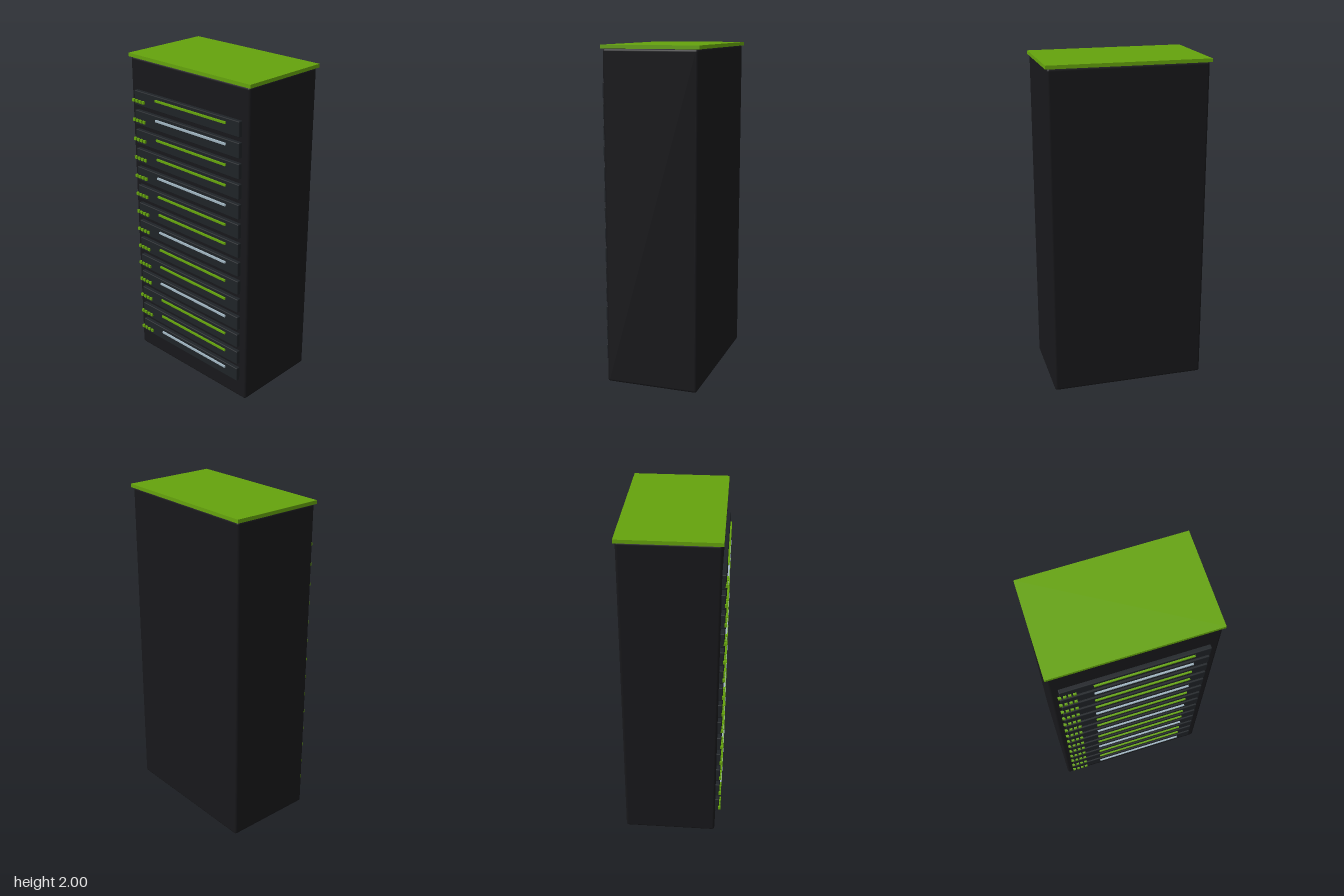
import * as THREE from 'three';
import { RoundedBoxGeometry } from 'three/addons/geometries/RoundedBoxGeometry.js';

const paint = (color) => new THREE.MeshStandardMaterial({ color });

// Box spanning [min, max] on each axis, with optional rounded edges
function block(name, [x0, x1], [y0, y1], [z0, z1], material, radius = 0) {
  const size = [x1 - x0, y1 - y0, z1 - z0];
  const geometry = radius
    ? new RoundedBoxGeometry(...size, 3, radius)
    : new THREE.BoxGeometry(...size);
  const mesh = new THREE.Mesh(geometry, material);
  mesh.name = name;
  mesh.position.set((x0 + x1) / 2, (y0 + y1) / 2, (z0 + z1) / 2);
  return mesh;
}

export function createModel() {
  const model = new THREE.Group();
  model.name = 'serverRack';

  const black = paint(0x18181b);
  const charcoal = paint(0x1f2327);
  const green = paint(0x65a30d);
  const silver = paint(0x9fb4c0);

  // Cabinet and overhanging lid
  model.add(block('cabinet', [-0.268, 0.293], [0, 1.98], [-0.47, 0.47], black, 0.015));
  model.add(block('lid', [-0.275, 0.302], [1.979, 2], [-0.48, 0.48], green));

  // Stack of server units on the -x side
  const count = 14, first = 0.17, pitch = 0.1212;
  for (let i = 0; i < count; i++) {
    const y = first + i * pitch;
    const unit = new THREE.Group();
    unit.name = 'serverUnit';
    unit.add(block('unitPanel', [-0.292, -0.26], [y - 0.045, y + 0.045], [-0.423, 0.42], charcoal, 0.005));

    // Long light strip, every third one silver
    unit.add(block('lightStrip', [-0.302, -0.288], [y + 0.012, y + 0.024], [-0.236, 0.326],
      i % 3 === 0 ? silver : green));

    // Row of four status lights near the back edge
    for (let k = 0; k < 4; k++) {
      const z = -0.425 + k * 0.028;
      unit.add(block('statusLight', [-0.302, -0.288], [y - 0.025, y - 0.007], [z - 0.009, z + 0.009], green));
    }
    model.add(unit);
  }
  return model;
}
